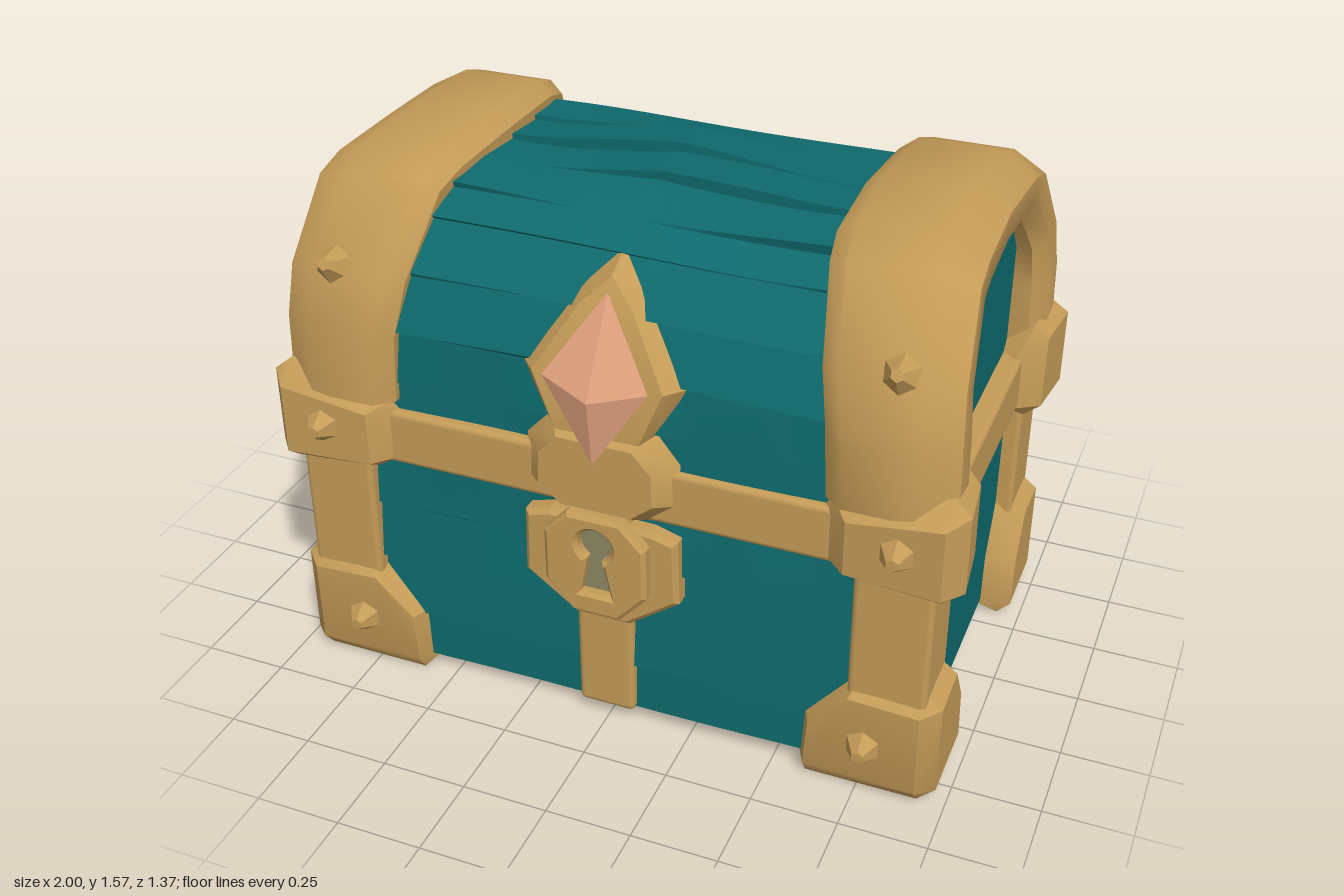
import * as THREE from 'three';
import { toCreasedNormals } from 'three/addons/utils/BufferGeometryUtils.js';
import { RoundedBoxGeometry } from 'three/addons/geometries/RoundedBoxGeometry.js';
import { ConvexGeometry } from 'three/addons/geometries/ConvexGeometry.js';

const mat = (name, color) => Object.assign(new THREE.MeshStandardMaterial({ color }), { name });

// Skin closed rings of [x, y, z] points, cap both ends, and face everything outwards.
function loft(rings, crease) {
  const n = rings[0].length, pts = rings.flat(), idx = [];
  for (let i = 0; i < rings.length - 1; i++)
    for (let j = 0; j < n; j++) {
      const a = i * n + j, b = i * n + (j + 1) % n;
      idx.push(a, b, a + n, b, b + n, a + n);
    }
  [0, rings.length - 1].forEach((r, end) => {
    const c = [0, 1, 2].map(k => rings[r].reduce((s, p) => s + p[k], 0) / n);
    const ci = pts.push(c) - 1;
    for (let j = 0; j < n; j++) {
      const a = r * n + j, b = r * n + (j + 1) % n;
      idx.push(ci, ...(end ? [a, b] : [b, a]));
    }
  });
  let volume = 0;
  for (let i = 0; i < idx.length; i += 3) {
    const [a, b, c] = [0, 1, 2].map(k => new THREE.Vector3(...pts[idx[i + k]]));
    volume += a.dot(b.cross(c));
  }
  if (volume < 0) idx.reverse();
  const g = new THREE.BufferGeometry();
  g.setAttribute('position', new THREE.Float32BufferAttribute(pts.flat(), 3));
  g.setIndex(idx);
  return toCreasedNormals(g, crease);
}

// Overlapping wavy planks along x; the half profile of [z, y] runs up the front.
function planks(half, centreTop, width) {
  const back = half.map(([z, y]) => [-z, y]).reverse();
  const mid = centreTop ? [[0, centreTop]] : [];
  const prof = [...half, ...mid, ...back], rings = [];
  for (let s = 0; s <= 20; s++) {
    const x = -width + (2 * width * s) / 20, ring = [];
    const fade = 1 - Math.abs(x / width) ** 4;
    for (let i = 0; i < prof.length - 1; i++) {
      const a = prof[i], b = prof[i + 1];
      const dz = b[0] - a[0], dy = b[1] - a[1], len = Math.hypot(dz, dy);
      const n = [dy / len, -dz / len];
      [[a, a[0] >= 0], [b, a[0] < 0]].forEach(([p, lower]) => {
        const o = (lower ? 0.014 : 0) + 0.007 * fade * Math.sin(5 * x + i * 2.1);
        const rise = centreTop && Math.abs(p[0]) < 0.2 ? 0.035 * Math.max(0, 1 - Math.abs(x) / 0.4) : 0;
        ring.push([x, p[1] + n[1] * o + rise + 0.008 * fade * Math.sin(3.3 * x + i), p[0] + n[0] * o]);
      });
    }
    rings.push(ring);
  }
  return loft(rings, 0.5);
}

// Thick bevelled arch wrapped over one end of the lid.
function arch(sx) {
  // outer z, outer y, inner z, inner y, inboard x, outboard x
  const half = [
    [0.62, 0.92, 0.40, 0.92, 0.62, 0.96], [0.615, 1.12, 0.40, 1.10, 0.61, 0.955],
    [0.57, 1.28, 0.40, 1.22, 0.585, 0.945], [0.41, 1.51, 0.27, 1.375, 0.545, 0.925],
    [0.30, 1.55, 0.20, 1.38, 0.53, 0.92], [0, 1.565, 0, 1.38, 0.52, 0.91]];
  const back = half.slice(0, -1).reverse().map(([a, b, c, ...r]) => [-a, b, -c, ...r]);
  return loft([...half, ...back].map(([oz, oy, iz, iy, xi, xo]) =>
    [[xi, 0.6], [xi, 0.2], [xi + 0.05, 0], [xo - 0.1, 0], [xo, 0.3], [xo, 0.7], [xo - 0.04, 1], [0.82, 1]]
      .map(([x, t]) => [sx * x, oy + (iy - oy) * t, oz + (iz - oz) * t])), 0.75);
}

// Convex solid from points, optionally mirrored in x and z.
const hull = (pts, sx = 1, sz = 1, crease = 0.6) => toCreasedNormals(
  new ConvexGeometry(pts.map(([x, y, z]) => new THREE.Vector3(sx * x, y, sz * z))), crease);
const bothSides = pts => pts.flatMap(([x, y, z]) => (x ? [[x, y, z], [-x, y, z]] : [[x, y, z]]));

const FOOT = [
  [0.92, 0.05, 0.62], [0.92, 0.31, 0.62], [0.72, 0.32, 0.62], [0.61, 0.2, 0.61], [0.60, 0.05, 0.61],
  [0.97, 0.04, 0.57], [0.97, 0.32, 0.57], [0.97, 0.33, 0.42], [0.97, 0.2, 0.34], [0.97, 0.04, 0.32],
  [0.92, 0.36, 0.57], [0.74, 0.36, 0.57], [0.92, 0.36, 0.41], [0.57, 0.03, 0.54], [0.58, 0.2, 0.54],
  [0.72, 0.36, 0.54], [0.88, 0.03, 0.30], [0.88, 0.36, 0.39], [0.88, 0.2, 0.31],
  [0.92, 0, 0.58], [0.60, 0, 0.58], [0.93, 0, 0.32], [0.61, 0, 0.5]];
const CLASP = [
  [0.95, 0.72, 0.64], [0.95, 0.93, 0.64], [0.69, 0.89, 0.63], [0.69, 0.73, 0.63],
  [1, 0.72, 0.58], [1, 0.95, 0.58], [0.98, 0.94, 0.41], [0.98, 0.72, 0.4],
  [0.61, 0.88, 0.56], [0.61, 0.74, 0.56], [0.95, 0.99, 0.57], [0.64, 0.92, 0.57], [0.94, 0.98, 0.4],
  [0.94, 0.68, 0.59], [0.70, 0.69, 0.57], [0.93, 0.68, 0.4], [0.9, 0.89, 0.33], [0.9, 0.73, 0.33]];

export function createModel() {
  const root = new THREE.Group();
  root.name = 'treasureChest';
  const gold = mat('gold trim', 0xc49b57), teal = mat('teal wood', 0x0f6a6d);
  const pink = mat('pink gem', 0xdfa17d), olive = mat('keyhole shade', 0x8c8763);
  const add = (name, geo, m = gold, x = 0, y = 0, z = 0) => {
    const mesh = new THREE.Mesh(geo, m);
    mesh.name = name;
    mesh.position.set(x, y, z);
    root.add(mesh);
    return mesh;
  };
  const box = (name, w, h, d, x, y, z) =>
    add(name, new RoundedBoxGeometry(w, h, d, 2, 0.018), gold, x, y, z);

  // Wooden box and lid
  add('body', planks([[0.55, 0.05], [0.56, 0.2], [0.56, 0.38], [0.555, 0.56], [0.55, 0.8]], 0, 0.88), teal);
  add('lid', planks([[0.55, 0.82], [0.555, 0.98], [0.55, 1.13], [0.5, 1.28], [0.41, 1.41],
    [0.32, 1.47], [0.16, 1.495]], 1.5, 0.86), teal);

  // Trim at the ends and the four corners
  for (const sx of [1, -1]) {
    add('lidArch', arch(sx));
    box('endBelt', 0.12, 0.17, 0.8, sx * 0.86, 0.81, 0);
    for (const sz of [1, -1]) {
      add('cornerFoot', hull(FOOT, sx, sz));
      add('cornerClasp', hull(CLASP, sx, sz));
      box('cornerPost', 0.22, 0.42, 0.21, sx * 0.82, 0.52, sz * 0.495);
      for (const [x, y, z, tilt] of [[0.79, 1.31, 0.575, -0.45], [0.83, 0.83, 0.655, 0], [0.77, 0.17, 0.64, 0]]) {
        const stud = add('stud', toCreasedNormals(new THREE.CylinderGeometry(0.018, 0.055, 0.055, 6), 0.3),
          gold, sx * x, y, sz * z);
        stud.rotation.x = sz * (Math.PI / 2 + tilt);
      }
    }
  }

  // Belts and the strap running under the chest
  for (const sz of [1, -1]) {
    box('longBelt', 1.36, 0.17, 0.1, 0, 0.805, sz * 0.535);
    box('strap', 0.17, 0.7, 0.08, 0, 0.395, sz * 0.55);
  }
  add('backStrapFlare', hull(bothSides([[0.17, 0.74, 0.54], [0.17, 0.88, 0.54], [0.15, 0.75, 0.592],
    [0.13, 0.87, 0.592], [0.085, 0.66, 0.54], [0.08, 0.66, 0.589]]), 1, -1));
  box('bottomStrap', 0.17, 0.05, 1.16, 0, 0.065, 0);

  // Diamond plate, gem and knob
  add('gemPlate', hull(bothSides([
    [0, 1.43, 0.39], [0.1, 1.34, 0.45], [0.24, 1.13, 0.54], [0.15, 0.97, 0.55],
    [0, 1.385, 0.485], [0.075, 1.31, 0.525], [0.185, 1.13, 0.6], [0.12, 0.97, 0.61]]), 1, 1, 0.4));
  add('gem', hull(bothSides([[0, 1.35, 0.515], [0.15, 1.13, 0.613], [0, 0.9, 0.64],
    [0, 1.1, 0.665], [0, 1.1, 0.55]]), 1, 1, 0.05), pink);
  const knob = [[0.23, 0.78], [0.225, 0.91], [0.15, 0.99], [0.14, 0.71]];
  add('knob', hull(bothSides([...knob.map(([x, y]) => [x, y, 0.56]),
    ...knob.map(([x, y]) => [x * 0.72, 0.86 + (y - 0.86) * 0.75, 0.63])])));

  // Lock with a cut keyhole
  const outline = pts => new THREE.Shape(
    [...pts, ...pts.map(([x, y]) => [-x, y]).reverse()].map(p => new THREE.Vector2(...p)));
  const plate = (shape, depth, bevel) => new THREE.ExtrudeGeometry(shape, {
    depth, bevelSize: bevel, bevelOffset: -bevel, bevelThickness: bevel, bevelSegments: 1, curveSegments: 10 });
  add('lockBase', plate(outline([[0.08, 0.37], [0.23, 0.48], [0.225, 0.68], [0.15, 0.7]]), 0.05, 0.014),
    gold, 0, 0, 0.545);
  const face = outline([[0.07, 0.41], [0.15, 0.5], [0.15, 0.66], [0.08, 0.735]]);
  const hole = new THREE.Path();
  hole.moveTo(-0.045, 0.48);
  hole.lineTo(0.045, 0.48);
  hole.lineTo(0.02, 0.595);
  hole.absarc(0, 0.64, 0.05, -1.1, Math.PI + 1.1, false);
  hole.closePath();
  face.holes.push(hole);
  add('lockFace', plate(face, 0.025, 0.012), gold, 0, 0, 0.612);
  add('keyhole', new THREE.BoxGeometry(0.13, 0.24, 0.006), olive, 0, 0.585, 0.613);
  return root;
}
